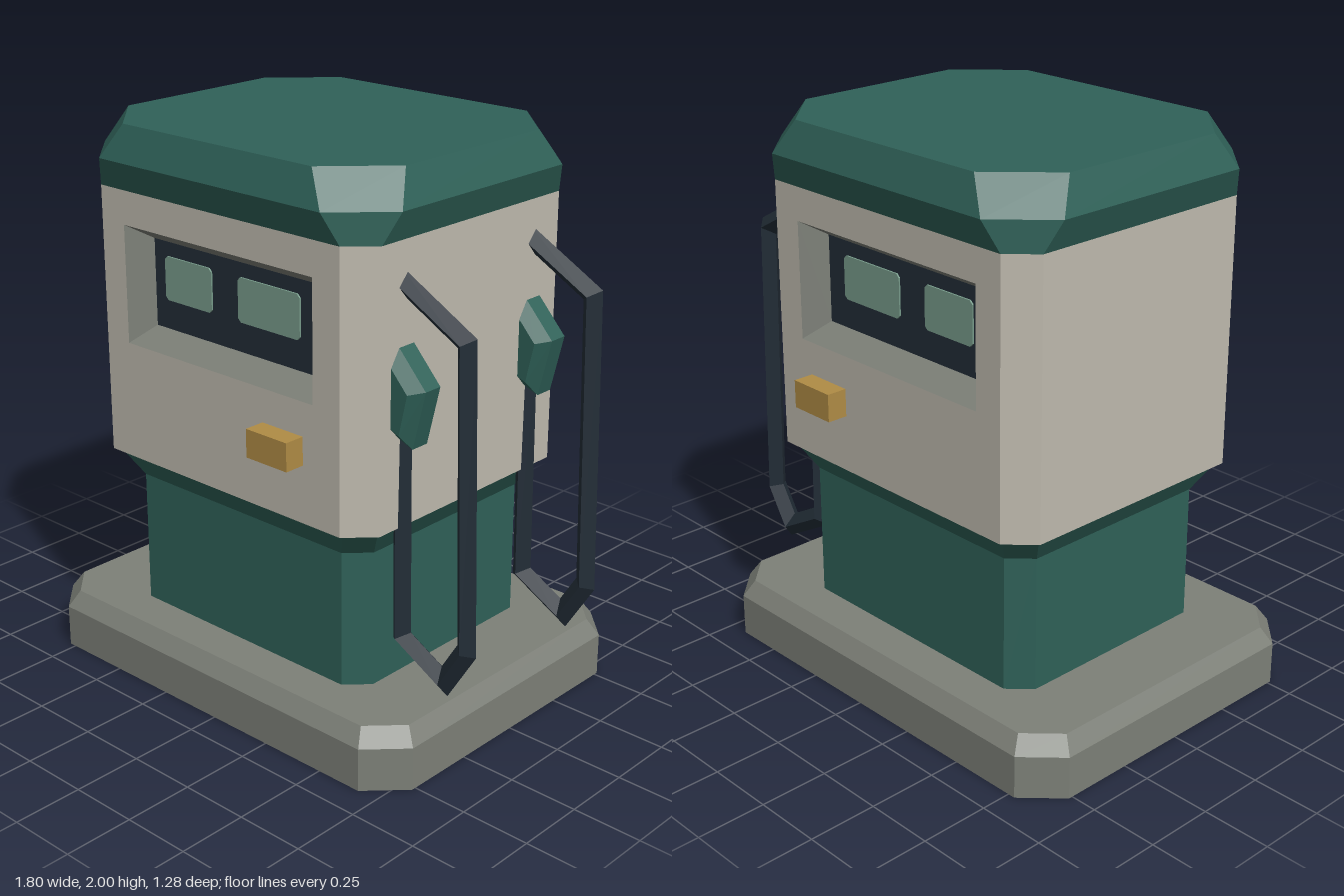
import * as THREE from 'three';

const CX = -0.052; // centre line of the cabinet

const mat = (name, color, side = THREE.FrontSide) => {
  const m = new THREE.MeshStandardMaterial({ color, side });
  m.name = name;
  return m;
};

// Joins rings of points with flat quads; optional end caps and skipped sides.
function loft(rings, { caps = true, skip = [] } = {}) {
  const pos = [];
  const tri = (...pts) => pts.forEach((p) => pos.push(...p));
  const n = rings[0].length;
  for (let k = 0; k < rings.length - 1; k++) {
    const a = rings[k], b = rings[k + 1];
    for (let i = 0; i < n; i++) {
      if (skip.includes(i)) continue;
      const j = (i + 1) % n;
      tri(a[i], a[j], b[j]);
      tri(a[i], b[j], b[i]);
    }
  }
  if (caps) {
    const a = rings[0], b = rings[rings.length - 1];
    for (let i = 1; i < n - 1; i++) {
      tri(a[0], a[i + 1], a[i]);
      tri(b[0], b[i], b[i + 1]);
    }
  }
  const g = new THREE.BufferGeometry();
  g.setAttribute('position', new THREE.Float32BufferAttribute(pos, 3));
  g.computeVertexNormals();
  return g;
}

// Rectangle with chamfered corners at height y.
const octagon = (y, hw, hz, c) => [
  [hw, hz - c], [hw, c - hz], [hw - c, -hz], [c - hw, -hz],
  [-hw, c - hz], [-hw, hz - c], [c - hw, hz], [hw - c, hz],
].map(([x, z]) => [CX + x, y, z]);

const rect = (x0, x1, y0, y1, z) => [[x0, y0, z], [x1, y0, z], [x1, y1, z], [x0, y1, z]];
const toV2 = (pts) => pts.map(([x, y]) => new THREE.Vector2(x, y));

// Square-section hose, mitred along a path in the xy plane.
function hoseGeometry(path, r) {
  const pts = toV2(path);
  const dir = (i) => pts[i + 1].clone().sub(pts[i]).normalize();
  const rings = pts.map((p, i) => {
    const d0 = dir(Math.max(i - 1, 0)), d1 = dir(Math.min(i, pts.length - 2));
    const t = d0.clone().add(d1).normalize();
    const m = r / t.dot(d0);
    const nx = t.y * m, ny = -t.x * m;
    return [[p.x + nx, p.y + ny, 0], [p.x, p.y, -r], [p.x - nx, p.y - ny, 0], [p.x, p.y, r]];
  });
  return loft(rings);
}

export function createModel() {
  const root = new THREE.Group();
  root.name = 'fuelPump';

  const green = mat('green paint', 0x2f6158);
  const cream = mat('cream paint', 0xbfbaae);
  const grey = mat('grey concrete', 0x7d8078);
  const dark = mat('dark rubber', 0x222d37);
  const glass = mat('display glass', 0x789c8b);
  const brass = mat('brass', 0xb08c45);

  const add = (parent, name, geometry, material) => {
    const m = new THREE.Mesh(geometry, material);
    m.name = name;
    parent.add(m);
    return m;
  };

  // Stacked chamfered blocks
  add(root, 'base', loft([
    octagon(0, 0.85, 0.64, 0.125), octagon(0.155, 0.85, 0.64, 0.125), octagon(0.215, 0.81, 0.6, 0.11),
  ]), grey);
  add(root, 'pedestal', loft([
    octagon(0.21, 0.552, 0.45, 0.075), octagon(0.705, 0.552, 0.45, 0.075), octagon(0.812, 0.618, 0.512, 0.08),
  ]), green);
  add(root, 'cabinet', loft([
    octagon(0.812, 0.637, 0.535, 0.09), octagon(1.775, 0.637, 0.535, 0.09),
  ], { skip: [2, 6] }), cream);
  add(root, 'roof', loft([
    octagon(1.775, 0.637, 0.535, 0.09), octagon(1.88, 0.678, 0.575, 0.175), octagon(2, 0.628, 0.53, 0.2),
  ]), green);

  // Front and back faces with the recessed display
  for (const s of [1, -1]) {
    const face = new THREE.Group();
    face.name = s > 0 ? 'frontFace' : 'backFace';
    if (s < 0) face.rotation.y = Math.PI;
    root.add(face);
    const span = (a, b) => (s > 0 ? [a, b] : [-b, -a]);
    const Z = 0.535, deep = 0.445;
    const outer = [...span(-0.49, 0.38), 1.235, 1.655];
    const inner = [...span(-0.44, 0.33), 1.29, 1.6];

    const wall = new THREE.Shape(toV2(rect(...span(CX - 0.547, CX + 0.547), 0.812, 1.775, 0)));
    wall.holes.push(new THREE.Path(toV2(rect(...outer, 0).reverse())));
    add(face, 'faceWall', new THREE.ShapeGeometry(wall).translate(0, 0, Z), cream);
    add(face, 'displayFrame', loft([rect(...outer, Z), rect(...inner, deep)], { caps: false }), grey);
    add(face, 'displayPanel', new THREE.ShapeGeometry(
      new THREE.Shape(toV2(rect(...inner, 0)))).translate(0, 0, deep), dark);

    // Two display windows with clipped corners
    for (const [a, b] of [[-0.385, -0.16], [-0.035, 0.245]]) {
      const [x0, x1] = span(a, b), y0 = 1.395, y1 = 1.55, c = 0.012;
      const win = new THREE.Shape(toV2([
        [x0 + c, y0], [x1 - c, y0], [x1, y0 + c], [x1, y1 - c],
        [x1 - c, y1], [x0 + c, y1], [x0, y1 - c], [x0, y0 + c],
      ]));
      add(face, 'displayWindow', new THREE.ExtrudeGeometry(win, { depth: 0.006, bevelEnabled: false })
        .translate(0, 0, deep), glass);
    }

    add(face, 'cardSlot', new THREE.BoxGeometry(0.18, 0.1, 0.085), brass)
      .position.set(s * 0.245, 1.066, 0.568);
  }

  // Hoses and nozzles on the left side
  const hose = hoseGeometry([
    [0.53, 1.655], [0.826, 1.492], [0.856, 0.452], [0.768, 0.31], [0.583, 0.412], [0.573, 1.2],
  ], 0.038);
  const grip = new THREE.ExtrudeGeometry(new THREE.Shape(toV2([
    [0.5, 1.16], [0.645, 1.105], [0.695, 1.31], [0.585, 1.43], [0.5, 1.47],
  ])), {
    depth: 0.07, bevelThickness: 0.038, bevelSize: 0.04, bevelOffset: -0.04, bevelSegments: 1,
  }).translate(0, 0, -0.035);
  for (const z of [0.325, -0.325]) {
    add(root, 'hose', hose, dark).position.z = z;
    add(root, 'nozzle', grip, green).position.z = z;
  }
  return root;
}
